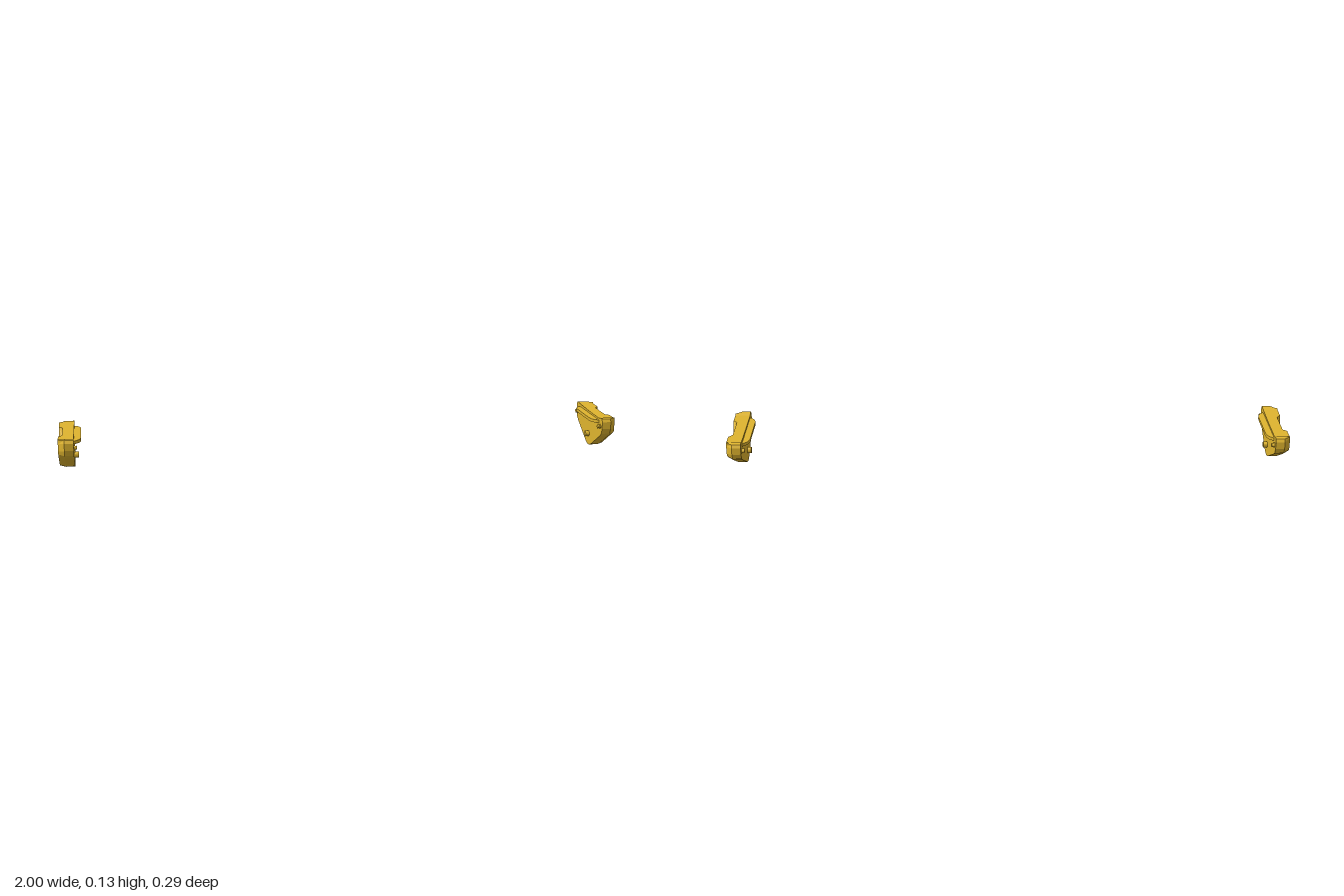
import * as THREE from 'three';

const BACK = 0.945, SHOULDER = 0.977, FACE = 0.999;

// Half outlines as [z, y], from the bottom tip round the wing to the notch
const OUTER = [[0, 0], [0.015, 0.003], [0.03, 0.009], [0.122, 0.062], [0.139, 0.075], [0.147, 0.095],
  [0.147, 0.12], [0.141, 0.131], [0.13, 0.133], [0.122, 0.131], [0.114, 0.127], [0.068, 0.127]];
const RIM = [[0, 0.005], [0.004, 0.007], [0.012, 0.012], [0.112, 0.071], [0.12, 0.077], [0.124, 0.088],
  [0.123, 0.115], [0.1225, 0.128], [0.1222, 0.13], [0.122, 0.131], [0.114, 0.127], [0.068, 0.127]];

const at = (outline, x) => outline.map(([z, y]) => [x, y, z]);

// Faceted shell: every polygon is given for +z and mirrored to -z
function shellGeometry() {
  const pos = [];
  const fan = (p) => {
    for (let i = 1; i < p.length - 1; i++) pos.push(...p[0], ...p[i], ...p[i + 1]);
  };
  const both = (...p) => {
    fan(p);
    fan(p.map(([x, y, z]) => [x, y, -z]).reverse());
  };
  const rim = at(RIM, FACE), mid = at(OUTER, SHOULDER), back = at(OUTER, BACK);

  // Edge band and bevel
  for (let i = 0; i < rim.length - 1; i++) {
    both(back[i], mid[i], mid[i + 1], back[i + 1]);
    both(mid[i], rim[i], rim[i + 1], mid[i + 1]);
  }
  // Outer wing panels and flat inner face
  for (let i = 0; i < 9; i++) both(rim[10], rim[i + 1], rim[i]);
  both(rim[10], rim[0], rim[11]);
  both(back[10], back[11], [BACK, 0.127, 0], ...back.slice(0, 10));

  // V-shaped recess with a stepped floor
  const a = rim[11], v = rim[0];
  const b = [0.985, 0.127, 0.055], c = [0.985, 0.104, 0.042];
  const e = [0.98, 0.102, 0.041], d = [0.972, 0.046, 0];
  const centre = ([x, y]) => [x, y, 0];
  both(a, v, d, e, c, b);
  both(b, c, centre(c), centre(b));
  both(c, e, centre(e), centre(c));
  both(e, d, centre(e));
  // Flat top behind the recess
  both(back[11], mid[11], a, b, centre(b), [BACK, 0.127, 0]);

  const g = new THREE.BufferGeometry();
  g.setAttribute('position', new THREE.Float32BufferAttribute(pos, 3));
  g.computeVertexNormals();
  return g;
}

// Thin shelf with rounded corners on the inner face
function shelfGeometry() {
  const s = new THREE.Shape();
  s.moveTo(0.95, -0.112);
  s.lineTo(0.942, -0.108);
  s.quadraticCurveTo(0.922, -0.095, 0.921, -0.07);
  s.lineTo(0.921, 0.07);
  s.quadraticCurveTo(0.922, 0.095, 0.942, 0.108);
  s.lineTo(0.95, 0.112);
  s.closePath();
  const g = new THREE.ExtrudeGeometry(s, { depth: 0.011, bevelEnabled: false, curveSegments: 5 });
  g.rotateX(Math.PI / 2);
  g.translate(0, 0.12, 0);
  return g;
}

function createPad(name, material) {
  const pad = new THREE.Group();
  pad.name = name;
  const add = (label, geometry) => {
    const m = new THREE.Mesh(geometry, material);
    m.name = label;
    pad.add(m);
    return m;
  };
  add('shell', shellGeometry());
  add('shelf', shelfGeometry());

  // Mounting pegs: one low in the middle, one near each end
  const peg = (label, r, tip, y, z) => {
    const length = 0.95 - tip;
    const g = new THREE.CylinderGeometry(r, r, length, 12);
    g.rotateZ(Math.PI / 2);
    add(label, g).position.set(tip + length / 2, y, z);
  };
  peg('lowerPeg', 0.011, 0.931, 0.042, 0);
  for (const side of [-1, 1]) {
    peg('endPeg', 0.007, 0.934, 0.1, side * 0.125);
    peg('endPegHead', 0.009, 0.941, 0.1, side * 0.125);
  }
  return pad;
}

export function createModel() {
  const material = new THREE.MeshStandardMaterial({ color: 0xe0b52f, flatShading: true });
  const model = new THREE.Group();
  model.name = 'padPair';
  const left = createPad('leftPad', material);
  const right = createPad('rightPad', material);
  right.rotation.y = Math.PI;
  model.add(left, right);
  return model;
}
